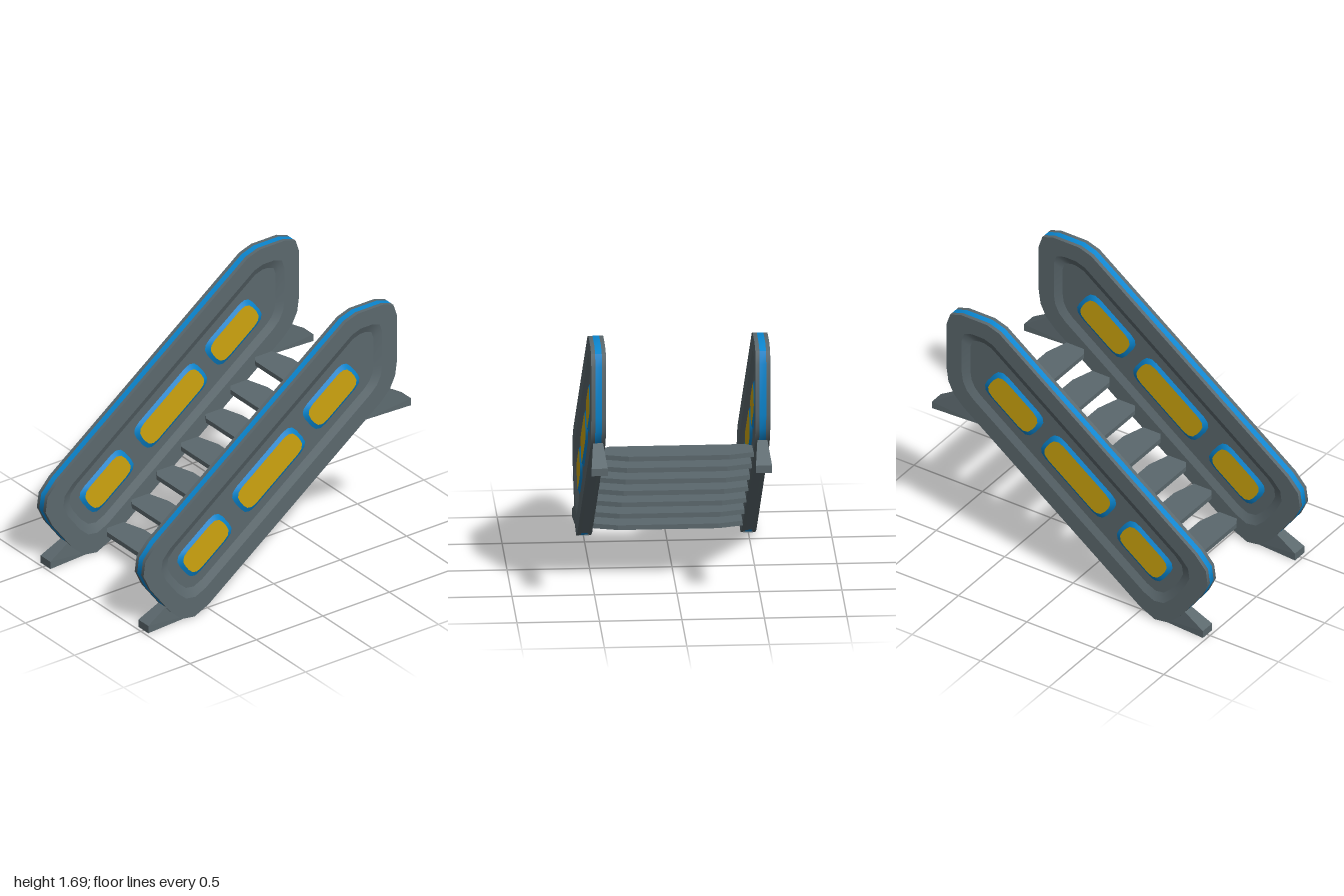
import * as THREE from 'three';
import { mergeGeometries, toCreasedNormals } from 'three/addons/utils/BufferGeometryUtils.js';
import { ConvexGeometry } from 'three/addons/geometries/ConvexGeometry.js';

const material = (name, color) => {
  const m = new THREE.MeshStandardMaterial({ color });
  m.name = name;
  return m;
};

// Side plane points are (z, y). u runs up the slope, v is square to it.
const slope = (u, v) => new THREE.Vector2(-0.8 * u + 0.6 * v, 0.6 * u + 0.8 * v);

// Corners: { p, t: rounding length, n: segments }, counter-clockwise.
// Returns the rounded outline, moved inward by d.
function outline(corners, d) {
  const count = corners.length;
  const inner = corners.map(({ p }, i) => {
    const e1 = p.clone().sub(corners[(i + count - 1) % count].p).normalize();
    const e2 = corners[(i + 1) % count].p.clone().sub(p).normalize();
    const normal = new THREE.Vector2(-e1.y - e2.y, e1.x + e2.x);
    return p.clone().addScaledVector(normal, d / (1 + e1.dot(e2)));
  });
  return corners.flatMap(({ t, n }, i) => {
    const p = inner[i];
    const length = t * (1 - 2.5 * d);
    const toward = (q) => p.clone().add(q.clone().sub(p).setLength(length));
    const a = toward(inner[(i + count - 1) % count]);
    const b = toward(inner[(i + 1) % count]);
    return new THREE.QuadraticBezierCurve(a, p, b).getPoints(n);
  });
}

function fromTriangles(positions) {
  const g = new THREE.BufferGeometry();
  g.setAttribute('position', new THREE.Float32BufferAttribute(positions, 3));
  return toCreasedNormals(g, 0.6);
}

// Band between two rings [inset, x]; keep(i, last) picks the segments.
function band(corners, [dA, xA], [dB, xB], keep = () => true) {
  const a = outline(corners, dA), b = outline(corners, dB), out = [];
  a.forEach((p, i) => {
    if (!keep(i, a.length - 1)) return;
    const j = (i + 1) % a.length;
    const a0 = [xA, p.y, p.x], a1 = [xA, a[j].y, a[j].x];
    const b0 = [xB, b[i].y, b[i].x], b1 = [xB, b[j].y, b[j].x];
    out.push(...a0, ...b0, ...b1, ...a0, ...b1, ...a1);
  });
  return fromTriangles(out);
}

// Flat face closing a ring, facing the sign of x.
function cap(corners, [d, x]) {
  const a = outline(corners, d), out = [];
  for (let i = 1; i < a.length - 1; i++) {
    const tri = x < 0 ? [a[0], a[i], a[i + 1]] : [a[0], a[i + 1], a[i]];
    tri.forEach((p) => out.push(x, p.y, p.x));
  }
  return fromTriangles(out);
}

const flip = ([d, x]) => [d, -x];

export function createModel() {
  const grey = material('slate grey', 0x5b686d);
  const blue = material('bright blue', 0x0a86d0);
  const yellow = material('amber yellow', 0xcda40f);
  const model = new THREE.Group();
  model.name = 'staircase';
  const add = (parent, name, geometry, mat) => {
    const mesh = new THREE.Mesh(geometry, mat);
    mesh.name = name;
    parent.add(mesh);
    return mesh;
  };

  // Side wall outline: front bottom, front top, top, back top, back bottom
  const wall = [
    { p: slope(-0.594, 0.351), t: 0.207, n: 3 },
    { p: slope(-0.594, 1.019), t: 0.21, n: 3 },
    { p: new THREE.Vector2(-0.551, 1.687), t: 0.05, n: 1 },
    { p: new THREE.Vector2(-0.895, 1.687), t: 0.104, n: 2 },
    { p: new THREE.Vector2(-0.895, 1.11), t: 0.15, n: 3 },
  ];
  const edge = [0, 0.02], rim = [0, 0.045], lip = [0.11, 0.045], floor = [0.16, 0.023];
  const underside = (i, last) => i === last;
  const wallGeometry = mergeGeometries([
    cap(wall, flip(floor)),
    band(wall, flip(floor), flip(lip)),
    band(wall, flip(lip), flip(rim)),
    band(wall, flip(rim), flip(edge)),
    band(wall, flip(edge), edge, underside),
    band(wall, edge, rim),
    band(wall, rim, lip),
    band(wall, lip, floor),
    cap(wall, floor),
  ]);
  const stripeGeometry = band(wall, flip(edge), edge, (i, last) => !underside(i, last));

  // Three framed light panels, visible on both faces of a wall
  const panes = [[-0.36, 0.043], [0.155, 0.735], [0.82, 1.247]].map(([u0, u1]) =>
    [[u0, 0.569], [u0, 0.799], [u1, 0.799], [u1, 0.569]].map(([u, v]) => ({ p: slope(u, v), t: 0.075, n: 3 })));
  const frameOuter = [0, 0.023], frameInner = [0.025, 0.038];
  const frameGeometry = mergeGeometries(panes.flatMap((p) => [
    band(p, flip(frameInner), flip(frameOuter)),
    band(p, frameOuter, frameInner),
  ]));
  const paneGeometry = mergeGeometries(panes.flatMap((p) => [cap(p, flip(frameInner)), cap(p, frameInner)]));

  // Feet: wedges [z, y, half width] that narrow toward the wall
  const foot = (profile) => new ConvexGeometry(profile.flatMap(([z, y, w]) =>
    [new THREE.Vector3(-w, y, z), new THREE.Vector3(w, y, z)]));
  const frontFoot = foot([[0.98, 0, 0.05], [0.98, 0.05, 0.05], [0.81, 0.145, 0.033], [0.6, 0.005, 0.03]]);
  const backFoot = foot([[-1, 0.925, 0.049], [-1, 0.972, 0.049], [-0.83, 1.082, 0.03], [-0.66, 0.925, 0.03]]);

  for (const [side, x] of [['left', 0.498], ['right', -0.498]]) {
    const group = new THREE.Group();
    group.name = side + 'Side';
    group.position.x = x;
    add(group, 'wall', wallGeometry, grey);
    add(group, 'edgeStripe', stripeGeometry, blue);
    add(group, 'panelFrames', frameGeometry, blue);
    add(group, 'lightPanels', paneGeometry, yellow);
    add(group, 'frontFoot', frontFoot, grey);
    add(group, 'backFoot', backFoot, grey);
    model.add(group);
  }

  // Treads with clipped corners
  const half = [[0.41, -0.2], [0.455, -0.17], [0.455, -0.045], [0.305, 0]];
  const tread = new THREE.Shape([...half, ...half.map(([x, y]) => [-x, y]).reverse()]
    .map(([x, y]) => new THREE.Vector2(x, y)));
  const treadGeometry = new THREE.ExtrudeGeometry(tread, { depth: 0.03, bevelEnabled: false }).rotateX(-Math.PI / 2);
  for (let i = 0; i < 7; i++) {
    add(model, 'tread' + (i + 1), treadGeometry, grey).position.set(0, 0.11 + 0.1358 * i, 0.38 - 0.1858 * i);
  }
  return model;
}
